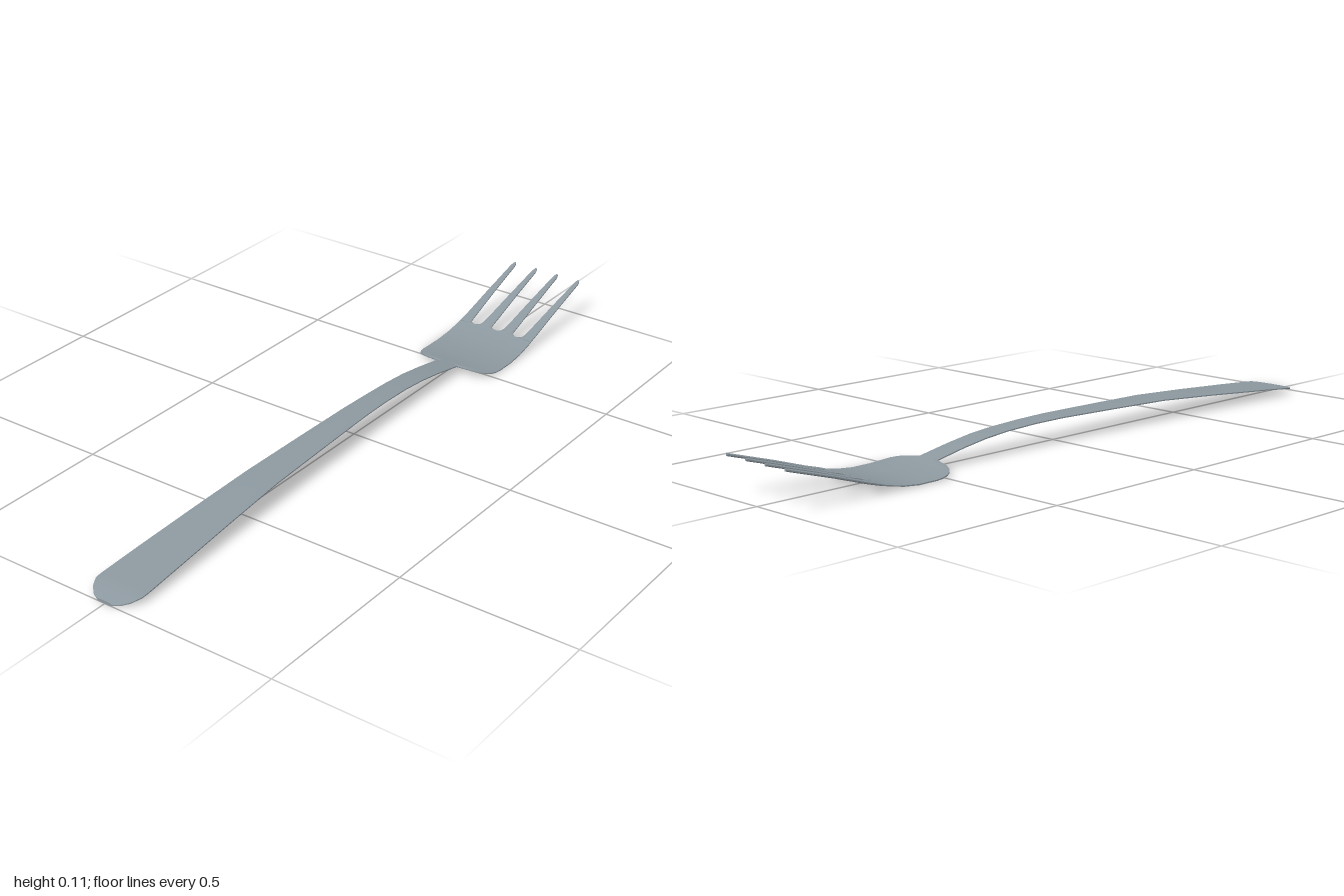
import * as THREE from 'three';
import { toCreasedNormals } from 'three/addons/utils/BufferGeometryUtils.js';

// Side profile of the sheet's mid-surface: [z, y], handle end to tine tips
const PROFILE = [
  [1, 0.005], [0.98, 0.011], [0.95, 0.018], [0.8, 0.03], [0.6, 0.045], [0.4, 0.058],
  [0.2, 0.063], [0, 0.067], [-0.1, 0.066], [-0.2, 0.062], [-0.28, 0.055], [-0.36, 0.043],
  [-0.46, 0.025], [-0.5, 0.018], [-0.54, 0.0135], [-0.6, 0.011], [-0.65, 0.014],
  [-0.7, 0.022], [-0.76, 0.037], [-0.86, 0.068], [-1, 0.109],
];
const HALF_THICK = 0.004;
const COLUMNS = 12;

function profileY(z) {
  for (let i = 1; i < PROFILE.length; i++) {
    const [z0, y0] = PROFILE[i - 1], [z1, y1] = PROFILE[i];
    if (z >= z1) return y0 + (y1 - y0) * (z0 - z) / (z0 - z1);
  }
  return PROFILE[PROFILE.length - 1][1];
}

// The head's side edges sag a little, fading out towards neck and tines
function sag(x, z) {
  if (z > -0.44) return 0;
  return 0.009 * THREE.MathUtils.clamp((z + 0.78) / 0.26, 0, 1) * (x / 0.127) ** 2;
}

// Loft a thin, soft-edged strip through stations [z, xMin, xMax], z decreasing
function strip(name, stations, material) {
  const pos = [], index = [], ring = 2 * (COLUMNS + 1);
  for (const [z, x0, x1] of stations) {
    for (let k = 0; k < ring; k++) {
      const top = k <= COLUMNS;
      const u = (top ? k : ring - 1 - k) / COLUMNS * 2 - 1;
      const x = (x0 + x1) / 2 + u * (x1 - x0) / 2;
      const h = HALF_THICK * (1 - 0.6 * u ** 4);
      pos.push(x, profileY(z) - sag(x, z) + (top ? h : -h), z);
    }
  }
  const last = (stations.length - 1) * ring;
  for (let i = 0; i < last; i += ring) {
    for (let k = 0; k < ring; k++) {
      const n = (k + 1) % ring;
      index.push(i + k, i + n, i + ring + n, i + k, i + ring + n, i + ring + k);
    }
  }
  // End caps, as quads between the top and bottom rows
  for (let k = 0; k < COLUMNS; k++) {
    const a = k, b = k + 1, c = ring - 2 - k, d = ring - 1 - k;
    index.push(a, c, b, a, d, c);
    index.push(last + a, last + b, last + c, last + a, last + c, last + d);
  }
  const geometry = new THREE.BufferGeometry();
  geometry.setAttribute('position', new THREE.Float32BufferAttribute(pos, 3));
  geometry.setIndex(index);
  const mesh = new THREE.Mesh(toCreasedNormals(geometry, 0.7), material);
  mesh.name = name;
  return mesh;
}

const symmetric = list => list.map(([z, w]) => [z, -w, w]);

export function createModel() {
  const fork = new THREE.Group();
  fork.name = 'fork';
  const metal = new THREE.MeshStandardMaterial({ color: 0x8c989f });

  // Handle: clipped round end, tapering to a narrow neck
  fork.add(strip('handle', symmetric([
    [1, 0.024], [0.99, 0.044], [0.975, 0.06], [0.95, 0.073], [0.93, 0.074], [0.8, 0.069],
    [0.6, 0.06], [0.4, 0.051], [0.2, 0.044], [0, 0.037], [-0.1, 0.034], [-0.2, 0.033],
    [-0.28, 0.033], [-0.36, 0.033], [-0.455, 0.034],
  ]), metal));

  // Head: broad plate with rounded shoulders
  fork.add(strip('head', symmetric([
    [-0.455, 0.034], [-0.459, 0.05], [-0.465, 0.078], [-0.473, 0.098], [-0.485, 0.112],
    [-0.5, 0.121], [-0.52, 0.126], [-0.54, 0.127], [-0.57, 0.127], [-0.6, 0.127],
    [-0.65, 0.126], [-0.7, 0.124], [-0.712, 0.124],
  ]), metal));

  // Tines: [left, right] at the flared root, below the root, and at the tip
  const tines = {
    outerTine: [[0.072, 0.124], [0.091, 0.123], [0.105, 0.119]],
    innerTine: [[0, 0.072], [0.02, 0.054], [0.03, 0.044]],
  };
  for (const [name, [root, neck, tip]] of Object.entries(tines)) {
    const mix = (a, b, t) => [a[0] + (b[0] - a[0]) * t, a[1] + (b[1] - a[1]) * t];
    const stations = [
      [-0.712, ...root], [-0.717, ...mix(root, neck, 0.5)],
      [-0.721, ...mix(root, neck, 0.85)], [-0.73, ...neck],
      [-0.76, ...mix(neck, tip, 0.15)], [-0.86, ...mix(neck, tip, 0.55)],
      [-0.985, ...tip], [-0.995, tip[0] + 0.002, tip[1] - 0.002],
      [-1, tip[0] + 0.004, tip[1] - 0.004],
    ];
    fork.add(strip(name + 'Left', stations, metal));
    fork.add(strip(name + 'Right', stations.map(([z, a, b]) => [z, -b, -a]), metal));
  }
  return fork;
}
